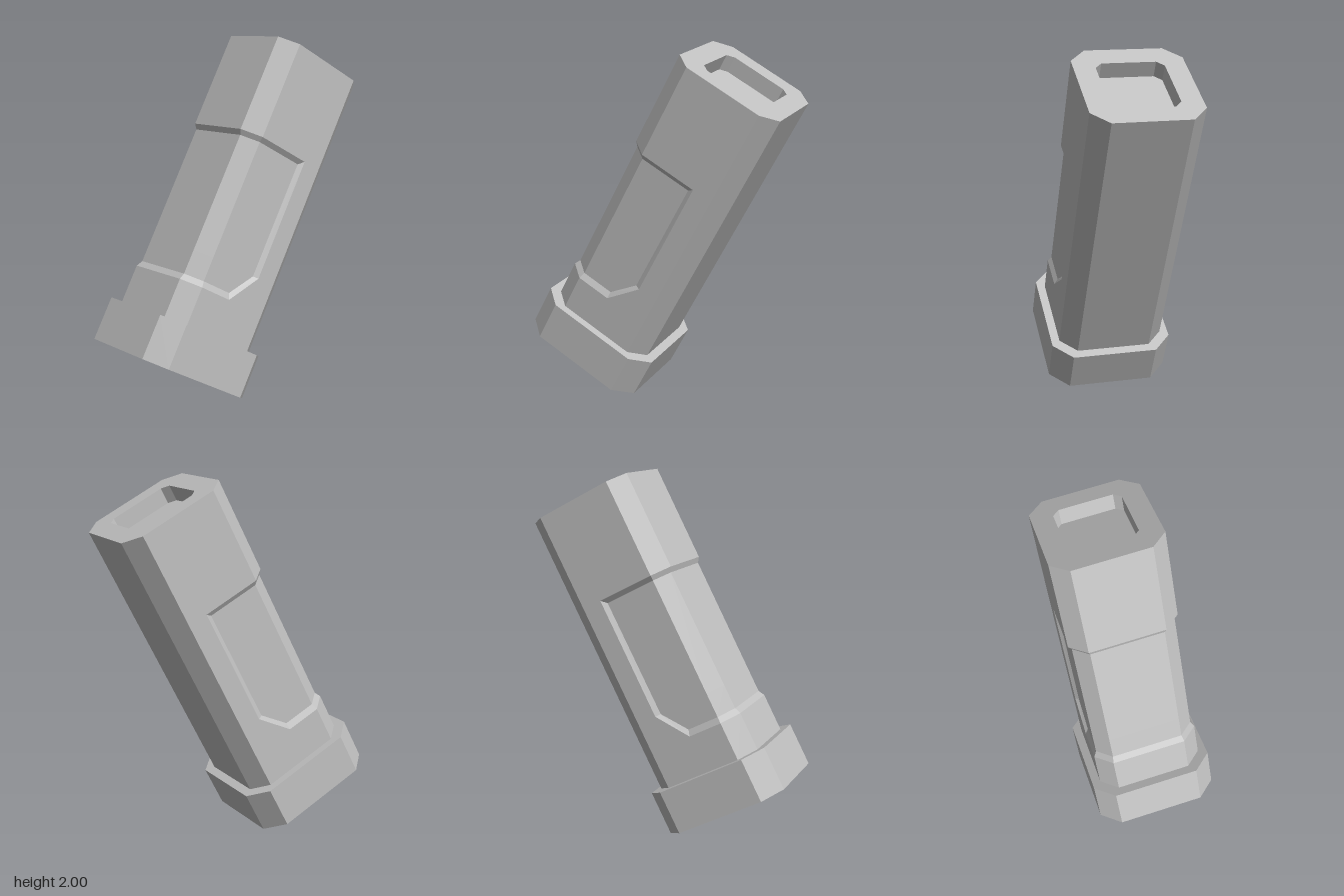
import * as THREE from 'three';

const TILT = THREE.MathUtils.degToRad(27.5);
const BODY = { x0: 0.054, x1: 0.688, z: 0.305, cut: 0.091 };

// Rectangle with cut corners, as [x, z] points
function octagon(x0, x1, z, c) {
  const half = [[x0, z - c], [x0 + c, z], [x1 - c, z], [x1, z - c]];
  return mirrored(half);
}

// Closes a half outline by mirroring it across z = 0
function mirrored(half) {
  return [...half, ...half.map(([x, z]) => [x, -z]).reverse()];
}

// Faceted skin through rings of equal point count
function loft(rings) {
  const pos = [];
  for (let k = 0; k + 1 < rings.length; k++) {
    const lo = rings[k], hi = rings[k + 1], n = lo.pts.length;
    for (let i = 0; i < n; i++) {
      const j = (i + 1) % n;
      const corner = (r, m) => new THREE.Vector3(r.pts[m][0], r.y, r.pts[m][1]);
      const a = corner(lo, i), b = corner(lo, j), c = corner(hi, j), d = corner(hi, i);
      for (const tri of [[a, b, c], [a, c, d]]) {
        if (new THREE.Triangle(...tri).getArea() > 1e-8) tri.forEach(v => pos.push(v.x, v.y, v.z));
      }
    }
  }
  const g = new THREE.BufferGeometry();
  g.setAttribute('position', new THREE.Float32BufferAttribute(pos, 3));
  g.computeVertexNormals();
  return g;
}

const toShape = pts => new THREE.Shape(pts.map(([x, z]) => new THREE.Vector2(x, z)));

// Body cross-section: d = recess depth, inner/outer = side edge of the recess
function bodyRing(y, d, inner, outer) {
  const { x0, x1, z, cut } = BODY, k = 0.414 * d;
  return {
    y,
    pts: mirrored([
      [x0 + d, z - cut - k], [x0 + cut + k, z - d], [inner, z - d],
      [outer, z], [x1 - cut, z], [x1, z - cut],
    ]),
  };
}

export function createModel() {
  const grey = new THREE.MeshStandardMaterial({ color: 0xc0c0c0 });
  grey.name = 'lightGrey';
  const model = new THREE.Group();
  model.name = 'magazine';
  const tilted = new THREE.Group();
  tilted.name = 'tiltedAssembly';
  tilted.rotation.z = -TILT;
  tilted.position.set(-0.745, 0.343, 0);
  model.add(tilted);

  const add = (name, geometry, y = 0) => {
    const mesh = new THREE.Mesh(geometry, grey);
    mesh.name = name;
    mesh.position.y = y;
    tilted.add(mesh);
  };

  // Wide base plate
  add('basePlate', new THREE.ExtrudeGeometry(toShape(octagon(0, 0.738, 0.353, 0.106)),
    { depth: 0.248, bevelEnabled: false }).rotateX(-Math.PI / 2));

  // Body with the grip recess wrapping its narrow face
  const d = 0.018, top = 1.896;
  add('body', loft([
    bodyRing(0.248, 0, 0.345, 0.345),
    bodyRing(0.465, 0, 0.345, 0.345),
    bodyRing(0.5, d, 0.341, 0.373),
    bodyRing(0.638, d, 0.454, 0.482),
    bodyRing(1.312, d, 0.456, 0.482),
    bodyRing(1.34, 0, 0.482, 0.482),
    bodyRing(top, 0, 0.482, 0.482),
  ]));

  // Top rim around the pocket
  const pocket = octagon(0.178, 0.573, 0.187, 0.038);
  const rim = toShape(octagon(BODY.x0, BODY.x1, BODY.z, BODY.cut));
  rim.holes.push(toShape(pocket));
  add('topRim', new THREE.ShapeGeometry(rim).rotateX(-Math.PI / 2), top);

  // Pocket walls face inwards
  const depth = 0.092, inward = [...pocket].reverse();
  add('pocketWalls', loft([{ y: top - depth, pts: inward }, { y: top, pts: inward }]));
  add('pocketFloor', new THREE.ShapeGeometry(toShape(pocket)).rotateX(-Math.PI / 2), top - depth);

  return model;
}
